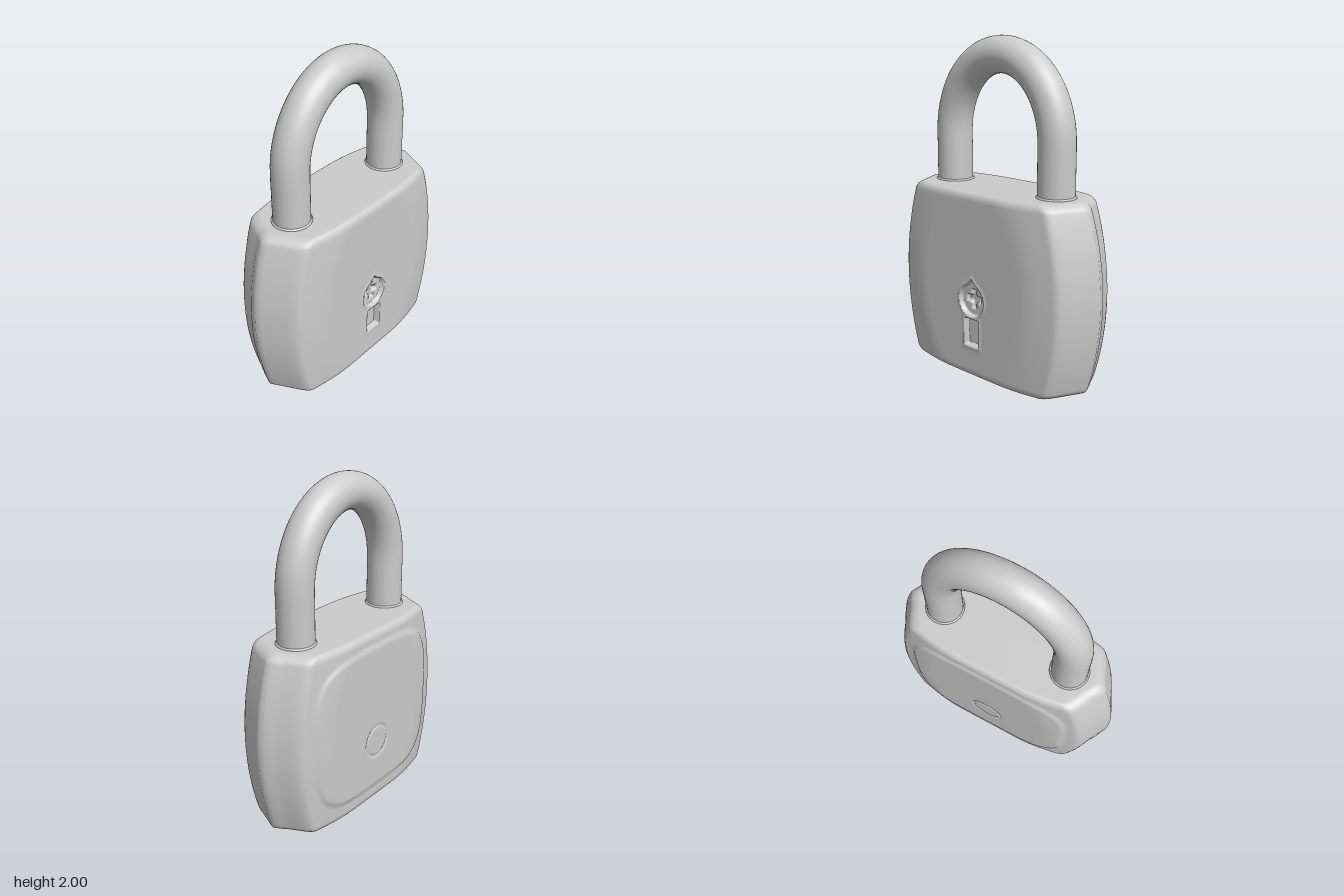
import * as THREE from 'three';

const H = 1.12;
const step = THREE.MathUtils.smoothstep;
const box = (x, y, w, h) => Math.max(Math.abs(x) - w, Math.abs(y) - h);
const smoothMin = (a, b, k) => {
  const h = Math.max(k - Math.abs(a - b), 0) / k;
  return Math.min(a, b) - h * h * k / 4;
};
const range = (a, b, n) => Array.from({ length: n }, (_, i) => a + (b - a) * i / n);

// Keyhole: pointed round pocket, slot below it and a clover-shaped cross inside
function frontRelief(x, y) {
  const round = Math.min(Math.hypot(x, y - 0.48) - 0.1, (Math.abs(x) + Math.abs(y - 0.53) - 0.08) / 1.41);
  const slot = box(x, y - 0.28, 0.058, 0.085);
  const cross = Math.min(box(x, y - 0.485, 0.022, 0.06), box(x, y - 0.485, 0.06, 0.022),
    Math.hypot(x, y - 0.485) - 0.036);
  const rim = Math.min(round, slot);
  return 0.004 * step(-rim, -0.022, -0.008) * step(rim, -0.004, 0.002)
    - 0.022 * step(-round, 0, 0.008)
    - 0.03 * step(-slot, 0, 0.008) * step(round, -0.004, 0.004)
    - 0.022 * step(-cross, 0, 0.008);
}

// Back: raised rounded-square panel with a ring groove
function backRelief(x, y) {
  const panel = Math.pow(Math.abs(x / 0.53) ** 4 + Math.abs((y - 0.57) / 0.47) ** 4, 0.25);
  const ring = Math.abs(Math.hypot(x, y - 0.41) - 0.1);
  return -0.012 * step(panel, 0.97, 1.01) - 0.006 * (1 - step(ring, 0, 0.014));
}

// Half depth of the body: a softly domed face cut off by sloping sides
function halfDepth(x, y, w, inset) {
  const q = Math.hypot(x / 0.7, (y - 0.55) / 1.1);
  const face = 0.268 - 0.06 * step(q, 0.55, 1.1) - 0.03 * inset;
  return smoothMin(face, (w - Math.abs(x)) * 2.1, 0.05);
}

function bodyGeometry() {
  // Rows: flat caps, rounded ends, denser rows across the keyhole
  const r = 0.045, rows = [];
  const ends = range(0, 1, 8).map(k => {
    const a = k * Math.PI / 2;
    return { dy: r * (1 - Math.cos(a)), inset: 1 - Math.sin(a) };
  });
  rows.push({ y: 0, inset: 1, s: 0 }, { y: 0, inset: 1, s: 0.9 });
  ends.forEach(e => rows.push({ y: e.dy, inset: e.inset, s: 1 }));
  [...range(r, 0.18, 9), ...range(0.18, 0.63, 80), ...range(0.63, H - r, 30), H - r]
    .forEach(y => rows.push({ y, inset: 0, s: 1 }));
  ends.slice().reverse().forEach(e => rows.push({ y: H - e.dy, inset: e.inset, s: 1 }));
  rows.push({ y: H, inset: 1, s: 0.9 }, { y: H, inset: 1, s: 0 });

  // Columns: front from left to right, then back again behind
  const ts = [...range(-1, -0.19, 42), ...range(-0.19, 0.19, 54), ...range(0.19, 1, 42), 1];
  const ring = ts.map(t => ({ t, side: 1 }));
  ts.slice(1, -1).reverse().forEach(t => ring.push({ t, side: -1 }));

  const pos = [], index = [], n = ring.length;
  rows.forEach(({ y, inset, s }) => {
    const v = (y - 0.54) / 0.56;
    const w = 0.74 - 0.1 * v * v - 0.06 * inset;
    ring.forEach(({ t, side }) => {
      const x = t * w;
      let d = halfDepth(x, y, w, inset);
      if (Math.abs(t) < 0.95) d += side > 0 ? frontRelief(x, y) : backRelief(x, y);
      pos.push(x * s, y, side * d * s);
    });
  });
  for (let j = 0; j < rows.length - 1; j++) {
    for (let i = 0; i < n; i++) {
      const a = j * n + i, b = j * n + (i + 1) % n;
      if (j > 0) index.push(a, b, b + n);
      else index.push(a, b + n, a + n);
      if (j > 0 && j < rows.length - 2) index.push(a, b + n, a + n);
    }
  }
  const g = new THREE.BufferGeometry();
  g.setAttribute('position', new THREE.Float32BufferAttribute(pos, 3));
  g.setIndex(index);
  g.computeVertexNormals();
  return g;
}

export function createModel() {
  const group = new THREE.Group();
  const material = new THREE.MeshStandardMaterial({ color: 0xcccccc });
  const add = (name, geometry) => {
    const mesh = new THREE.Mesh(geometry, material);
    mesh.name = name;
    group.add(mesh);
    return mesh;
  };

  add('body', bodyGeometry());

  // Shackle: straight legs joined by a half-ellipse arch
  const legX = 0.412, archY = 1.42, path = [];
  for (const y of [1.0, 1.1, 1.2, 1.3]) path.push(new THREE.Vector3(-legX, y, 0));
  for (let i = 0; i <= 24; i++) {
    const a = Math.PI * (1 - i / 24);
    path.push(new THREE.Vector3(legX * Math.cos(a), archY + 0.472 * Math.sin(a), 0));
  }
  for (const y of [1.3, 1.2, 1.1, 1.0]) path.push(new THREE.Vector3(legX, y, 0));
  add('shackle', new THREE.TubeGeometry(new THREE.CatmullRomCurve3(path), 120, 0.108, 36));

  // Small seams where the legs enter the body
  for (const side of [-1, 1]) {
    const seam = add(side > 0 ? 'leftLegSeam' : 'rightLegSeam', new THREE.TorusGeometry(0.107, 0.01, 8, 36));
    seam.rotation.x = Math.PI / 2;
    seam.position.set(side * legX, H, 0);
  }
  return group;
}
